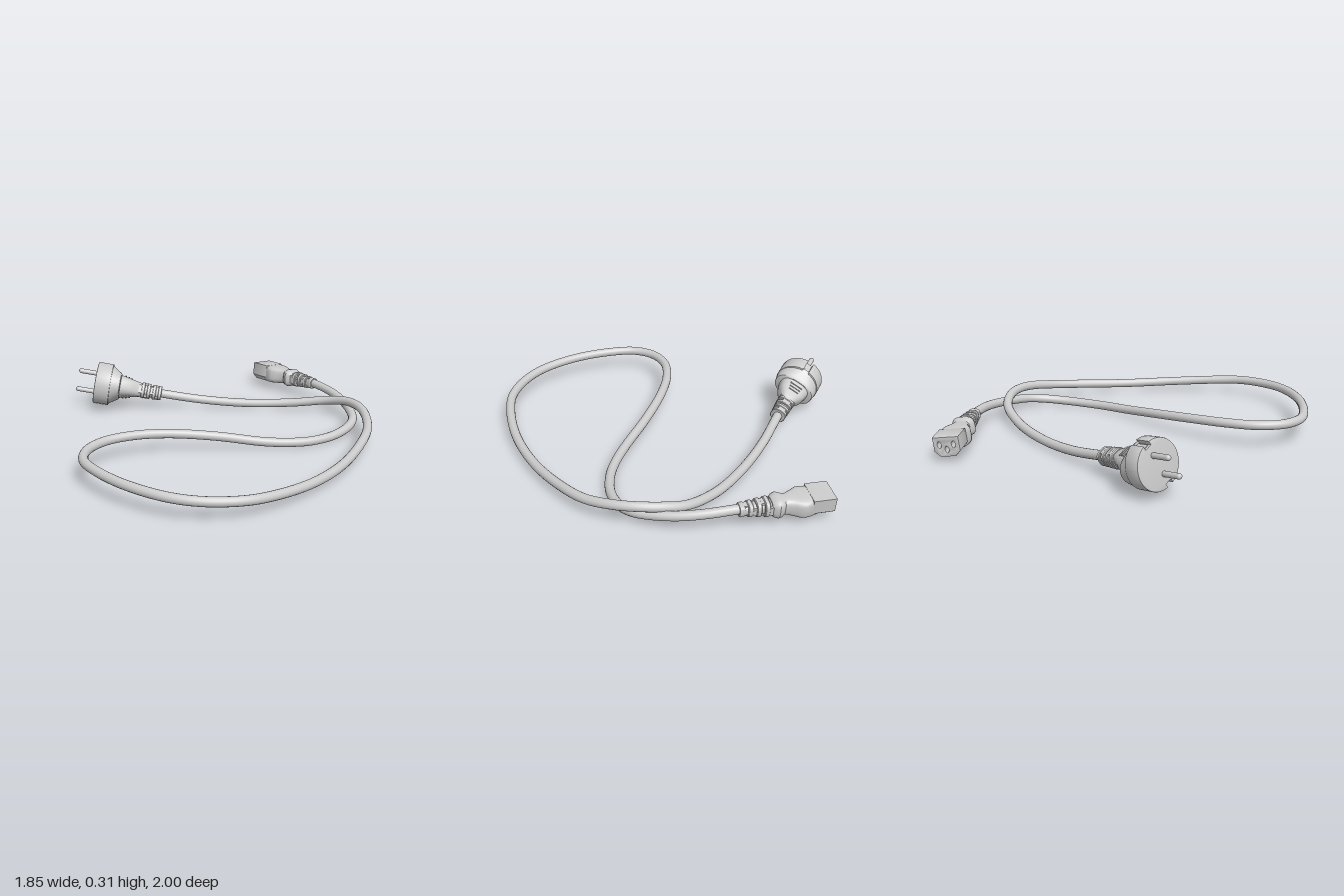
import * as THREE from 'three';
import { toCreasedNormals } from 'three/addons/utils/BufferGeometryUtils.js';

const V = (x, y, z) => new THREE.Vector3(x, y, z);
const material = new THREE.MeshStandardMaterial({ color: 0xcccccc, roughness: 0.7 });

function add(parent, name, geometry, x = 0, y = 0, z = 0) {
  const mesh = new THREE.Mesh(geometry, material);
  mesh.name = name;
  mesh.position.set(x, y, z);
  parent.add(mesh);
  return mesh;
}

// Closed loft along +z through superellipse sections [z, halfWidth, halfHeight, power]
function loft(sections, sides = 32) {
  const pos = [], idx = [];
  for (const [z, w, h, p = 3] of sections)
    for (let j = 0; j < sides; j++) {
      const a = (j / sides) * Math.PI * 2, c = Math.cos(a), s = Math.sin(a);
      pos.push(w * Math.sign(c) * Math.abs(c) ** (2 / p), h * Math.sign(s) * Math.abs(s) ** (2 / p), z);
    }
  const n = sections.length, first = n * sides;
  pos.push(0, 0, sections[0][0], 0, 0, sections[n - 1][0]);
  for (let j = 0; j < sides; j++) {
    const k = (j + 1) % sides, top = (n - 1) * sides;
    for (let i = 0; i < n - 1; i++) {
      const a = i * sides + j, b = i * sides + k;
      idx.push(a, b, a + sides, b, b + sides, a + sides);
    }
    idx.push(first, k, j, first + 1, top + j, top + k);
  }
  const g = new THREE.BufferGeometry();
  g.setAttribute('position', new THREE.Float32BufferAttribute(pos, 3));
  g.setIndex(idx);
  return toCreasedNormals(g, 0.6);
}

// Group whose +z runs from the contact face toward the cable
function connector(name, face, dir, up) {
  const g = new THREE.Group(), z = dir.normalize();
  const x = up.cross(z).normalize(), y = z.clone().cross(x);
  g.quaternion.setFromRotationMatrix(new THREE.Matrix4().makeBasis(x, y, z));
  g.position.copy(face);
  g.name = name;
  return g;
}

// Slotted bend relief: core, broad collars and staggered bridging ribs
function strainRelief(parent, z0, z1, r0, r1, count) {
  const g = new THREE.Group();
  g.name = 'strainRelief';
  parent.add(g);
  add(g, 'reliefCore', loft([[z0 - 0.02, r0 * 0.78, r0 * 0.75, 2.4], [z1 - 0.005, r1 * 0.85, r1 * 0.8, 2.4]]));
  const pitch = (z1 - z0) / count, t = pitch * 0.62, b = t * 0.15;
  for (let i = 0; i < count; i++) {
    const r = THREE.MathUtils.lerp(r0, r1, i / (count - 1)), z = z0 + (i + 1) * pitch - t;
    add(g, 'reliefCollar', loft([[z, r * 0.93, r * 0.88], [z + b, r, r * 0.95], [z + t - b, r, r * 0.95], [z + t, r * 0.93, r * 0.88]]));
    const side = i % 2 === 0;
    const rib = new THREE.BoxGeometry(side ? r * 0.4 : r, side ? r : r * 0.4, pitch * 0.6);
    for (const s of [-1, 1])
      add(g, 'reliefRib', rib, side ? s * r * 0.76 : 0, side ? 0 : s * r * 0.72, z - (pitch - t) / 2);
  }
}

function wallPlug() {
  const g = connector('wallPlug', V(-0.575, 0.18, -0.837), V(0.92, -0.18, 0.33), V(0.33, 0.86, -0.37));

  // Round front of the head with a grounding notch at top and bottom
  const R = 0.131, half = 0.024, depth = 0.024, a = Math.asin(half / R);
  const shape = new THREE.Shape();
  shape.absarc(0, 0, R, -Math.PI / 2 + a, Math.PI / 2 - a, false);
  shape.lineTo(half, R - depth);
  shape.lineTo(-half, R - depth);
  shape.absarc(0, 0, R, Math.PI / 2 + a, Math.PI * 1.5 - a, false);
  shape.lineTo(-half, -R + depth);
  shape.lineTo(half, -R + depth);
  shape.closePath();
  const head = new THREE.ExtrudeGeometry(shape, {
    depth: 0.088, bevelEnabled: true, bevelSize: 0.005, bevelThickness: 0.005, bevelSegments: 2, curveSegments: 32,
  });
  add(g, 'plugHead', toCreasedNormals(head, 0.6), 0, 0, 0.005);

  // Back of the head, sloping in at top and bottom and full width at the sides
  add(g, 'headBack', loft([
    [0.085, 0.134, 0.13, 2], [0.105, 0.133, 0.12, 2], [0.125, 0.131, 0.106, 2.1], [0.145, 0.128, 0.092, 2.3], [0.157, 0.125, 0.083, 2.4], [0.161, 0.115, 0.078, 2.4],
  ], 48));

  for (const s of [-1, 1]) {
    add(g, 'groundClip', new THREE.BoxGeometry(0.026, 0.012, 0.07), 0, s * 0.11, 0.05);
    const pin = add(g, 'contactPin', new THREE.CapsuleGeometry(0.0155, 0.125, 6, 16), 0, s * 0.06, -0.045);
    pin.rotation.x = Math.PI / 2;
  }

  // Tapered grip with finger ribs
  add(g, 'grip', loft([
    [0.14, 0.1, 0.08, 2.6], [0.175, 0.09, 0.069, 2.8], [0.22, 0.08, 0.06], [0.25, 0.064, 0.053], [0.29, 0.045, 0.046], [0.3, 0.04, 0.042],
  ]));
  for (const s of [-1, 1])
    for (let i = 0; i < 3; i++)
      add(g, 'gripRib', new THREE.BoxGeometry(0.08 - i * 0.008, 0.012, 0.009), 0, s * (0.066 - i * 0.005), 0.185 + i * 0.021);

  strainRelief(g, 0.285, 0.432, 0.053, 0.047, 4);
  return g;
}

function applianceConnector() {
  const g = connector('applianceConnector', V(0.65, 0.093, -0.975), V(0.19, 0.02, 0.475), V(0.12, 1, 0));

  // Socket block with two chamfered corners and three contact slots
  const w = 0.071, h = 0.054, c = 0.03;
  const shape = new THREE.Shape([[-w, h], [-w, -h + c], [-w + c, -h], [w - c, -h], [w, -h + c], [w, h]]
    .map(([x, y]) => new THREE.Vector2(x, y)));
  for (const [x, y] of [[-0.04, 0.012], [0.04, 0.012], [0, -0.016]]) {
    const hole = new THREE.Path();
    hole.absellipse(x, y, 0.013, 0.022, 0, Math.PI * 2, true);
    shape.holes.push(hole);
  }
  const block = new THREE.ExtrudeGeometry(shape, {
    depth: 0.122, bevelEnabled: true, bevelSize: 0.004, bevelThickness: 0.004, bevelOffset: -0.001, bevelSegments: 2, curveSegments: 12,
  });
  add(g, 'socketBlock', toCreasedNormals(block, 0.6), 0, 0, 0.004);

  // Flared grip, waist and rounded collar
  add(g, 'grip', loft([
    [0.09, 0.066, 0.048, 5], [0.125, 0.073, 0.055, 5], [0.145, 0.079, 0.057, 4.5], [0.165, 0.084, 0.057, 4], [0.185, 0.082, 0.056, 4], [0.215, 0.066, 0.054, 3.5],
    [0.25, 0.05, 0.051], [0.27, 0.048, 0.049], [0.285, 0.061, 0.055], [0.305, 0.067, 0.058], [0.325, 0.06, 0.053], [0.34, 0.044, 0.042],
  ]));

  strainRelief(g, 0.335, 0.512, 0.05, 0.036, 4);
  return g;
}

export function createModel() {
  const model = new THREE.Group();
  model.name = 'powerCord';
  model.add(wallPlug(), applianceConnector());

  // Cable centre line from the wall plug, round the loop, to the appliance connector
  const path = [
    [-0.25, 0.118, -0.72], [-0.177, 0.103, -0.694], [0.08, 0.057, -0.61], [0.35, 0.036, -0.5], [0.61, 0.05, -0.37], [0.8, 0.09, -0.23],
    [0.87, 0.118, -0.11], [0.892, 0.126, 0], [0.88, 0.118, 0.13], [0.81, 0.092, 0.3], [0.675, 0.072, 0.465],
    [0.455, 0.057, 0.665], [0.19, 0.065, 0.837], [-0.075, 0.085, 0.942], [-0.25, 0.1, 0.971], [-0.445, 0.111, 0.932],
    [-0.6, 0.12, 0.842], [-0.76, 0.129, 0.66], [-0.865, 0.133, 0.45], [-0.9, 0.134, 0.29], [-0.855, 0.135, 0.16],
    [-0.735, 0.135, 0.065], [-0.55, 0.131, 0.027], [-0.34, 0.117, 0.039], [-0.075, 0.086, 0.098], [0.19, 0.047, 0.184],
    [0.35, 0.033, 0.219], [0.48, 0.027, 0.226], [0.64, 0.03, 0.198], [0.77, 0.043, 0.132], [0.845, 0.058, 0.05],
    [0.883, 0.073, -0.07], [0.897, 0.09, -0.21], [0.884, 0.105, -0.34], [0.842, 0.115, -0.49], [0.812, 0.112, -0.57],
  ].map((p) => V(...p));
  add(model, 'cable', new THREE.TubeGeometry(new THREE.CatmullRomCurve3(path), 300, 0.027, 16));
  return model;
}
